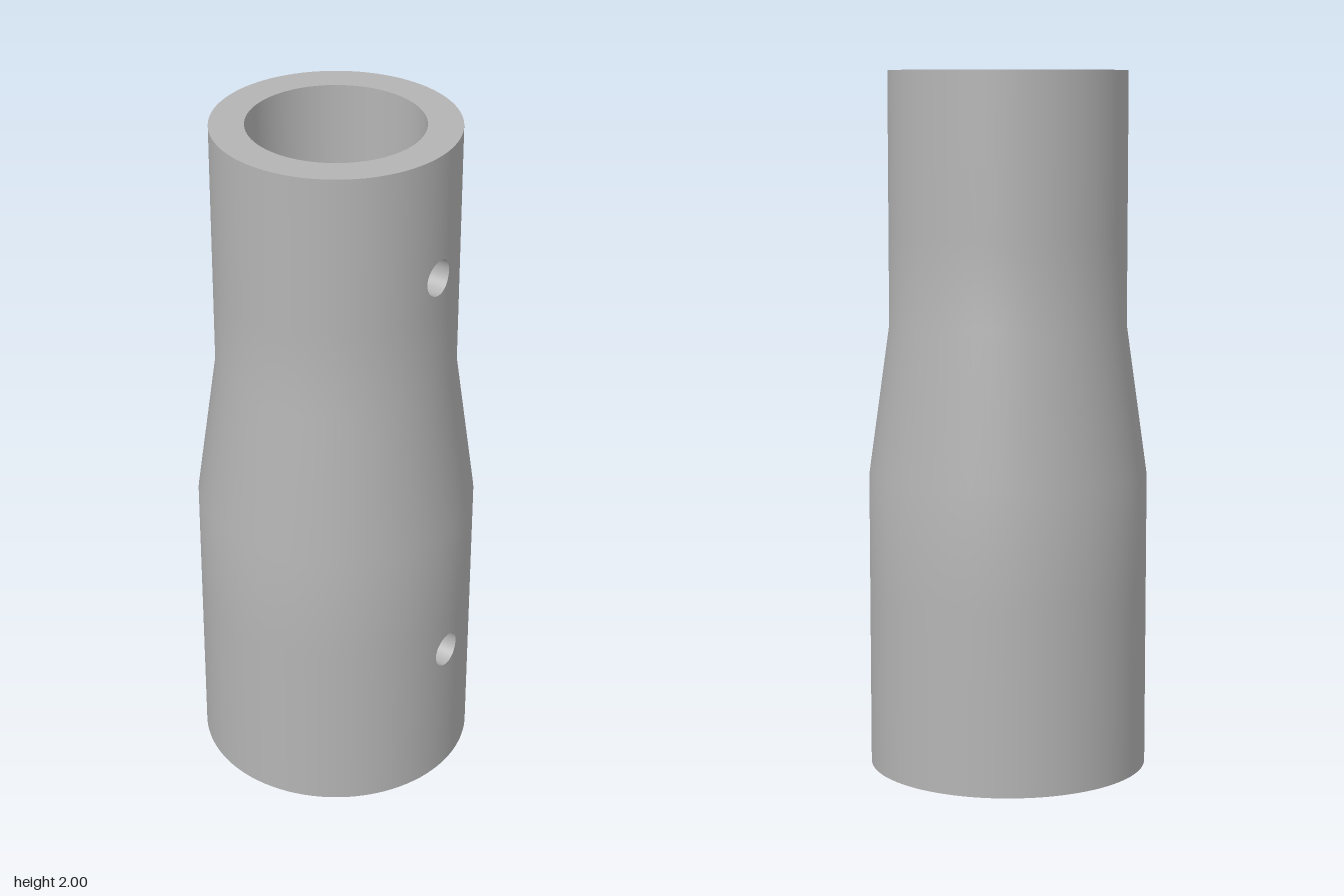
import * as THREE from 'three';

const SEG = 96, GAP = 8;                    // segments round the tube, and across the drilled strip
const STEP = Math.PI * 2 / SEG;
const HALF = GAP * STEP / 2;                // half angle of the drilled strip
const HOLE_R = 0.052, PATCH_H = 0.1;
const LOW = { y: 0.425, outer: 0.4, inner: 0.306 };
const HIGH = { y: 1.64, outer: 0.34, inner: 0.244 };

// Heights of the wall profile, split where the drilled patches begin and end
const levels = [
  [0, LOW], [LOW.y - PATCH_H, LOW], [LOW.y + PATCH_H, LOW], [0.85, LOW],
  [1.28, HIGH], [HIGH.y - PATCH_H, HIGH], [HIGH.y + PATCH_H, HIGH], [2, HIGH],
];
const wall = (side, from, to) => {
  const pts = levels.slice(from, to).map(([y, s]) => new THREE.Vector2(s[side], y));
  return side === 'inner' ? pts.reverse() : pts;
};

// Square patch of wall with a round hole: outer face, tunnel and inner face
function drilledPatch({ y, outer, inner }) {
  const pos = [], nor = [], idx = [];
  const N = GAP * 4;
  const rim = i => {
    const s = Math.floor((i % N) / GAP), t = -1 + 2 * (i % GAP) / GAP;
    return [[1, t], [-t, 1], [-1, -t], [t, -1]][s];
  };
  // t = 0 at the hole edge, 1 at the square edge
  const point = (i, r, t) => {
    const [u, v] = rim(i), len = Math.hypot(u, v);
    const a = THREE.MathUtils.lerp(Math.asin(HOLE_R * u / len / r), u * HALF, t);
    const h = THREE.MathUtils.lerp(HOLE_R * v / len, v * PATCH_H, t);
    return { p: [r * Math.cos(a), y + h, r * Math.sin(a)], a, dir: [0, -v / len, -u / len] };
  };
  const addRings = (rings, normal) => {
    const base = pos.length / 3;
    rings.forEach(([r, t], j) => {
      for (let i = 0; i <= N; i++) {
        const q = point(i, r, t);
        pos.push(...q.p);
        nor.push(...normal(q));
        if (j < rings.length - 1 && i < N) {
          const k = base + j * (N + 1) + i, m = k + N + 1;
          idx.push(k, m, k + 1, m, m + 1, k + 1);
        }
      }
    });
  };
  const ts = [0, 1 / 3, 2 / 3, 1];
  addRings(ts.map(t => [outer, 1 - t]), q => [Math.cos(q.a), 0, Math.sin(q.a)]);
  addRings([[outer, 0], [inner, 0]], q => q.dir);
  addRings(ts.map(t => [inner, t]), q => [-Math.cos(q.a), 0, -Math.sin(q.a)]);
  const g = new THREE.BufferGeometry();
  g.setAttribute('position', new THREE.Float32BufferAttribute(pos, 3));
  g.setAttribute('normal', new THREE.Float32BufferAttribute(nor, 3));
  g.setIndex(idx);
  return g;
}

export function createModel() {
  const group = new THREE.Group();
  group.name = 'reducingSleeve';
  const grey = new THREE.MeshStandardMaterial({ color: 0xb4b4b4 });
  grey.name = 'grey metal';
  const add = (name, geometry) => {
    const mesh = new THREE.Mesh(geometry, grey);
    mesh.name = name;
    group.add(mesh);
  };

  for (const side of ['outer', 'inner']) {
    // Main wall, all round except the drilled strip facing +x
    add(side + 'Wall', new THREE.LatheGeometry(
      wall(side, 0, 8), SEG - GAP, Math.PI / 2 + HALF, Math.PI * 2 - 2 * HALF));
    // Plain lengths of the strip below, between and above the holes
    for (const [from, to] of [[0, 2], [2, 6], [6, 8]]) {
      add(side + 'Strip', new THREE.LatheGeometry(
        wall(side, from, to), GAP, Math.PI / 2 - HALF, 2 * HALF));
    }
  }

  // Screw holes
  add('lowerScrewHole', drilledPatch(LOW));
  add('upperScrewHole', drilledPatch(HIGH));

  // Flat end rims
  const ring = (a, b, y) => new THREE.LatheGeometry(
    [new THREE.Vector2(a, y), new THREE.Vector2(b, y)], SEG, Math.PI / 2 + HALF);
  add('topRim', ring(HIGH.outer, HIGH.inner, 2));
  add('bottomRim', ring(LOW.inner, LOW.outer, 0));
  return group;
}
